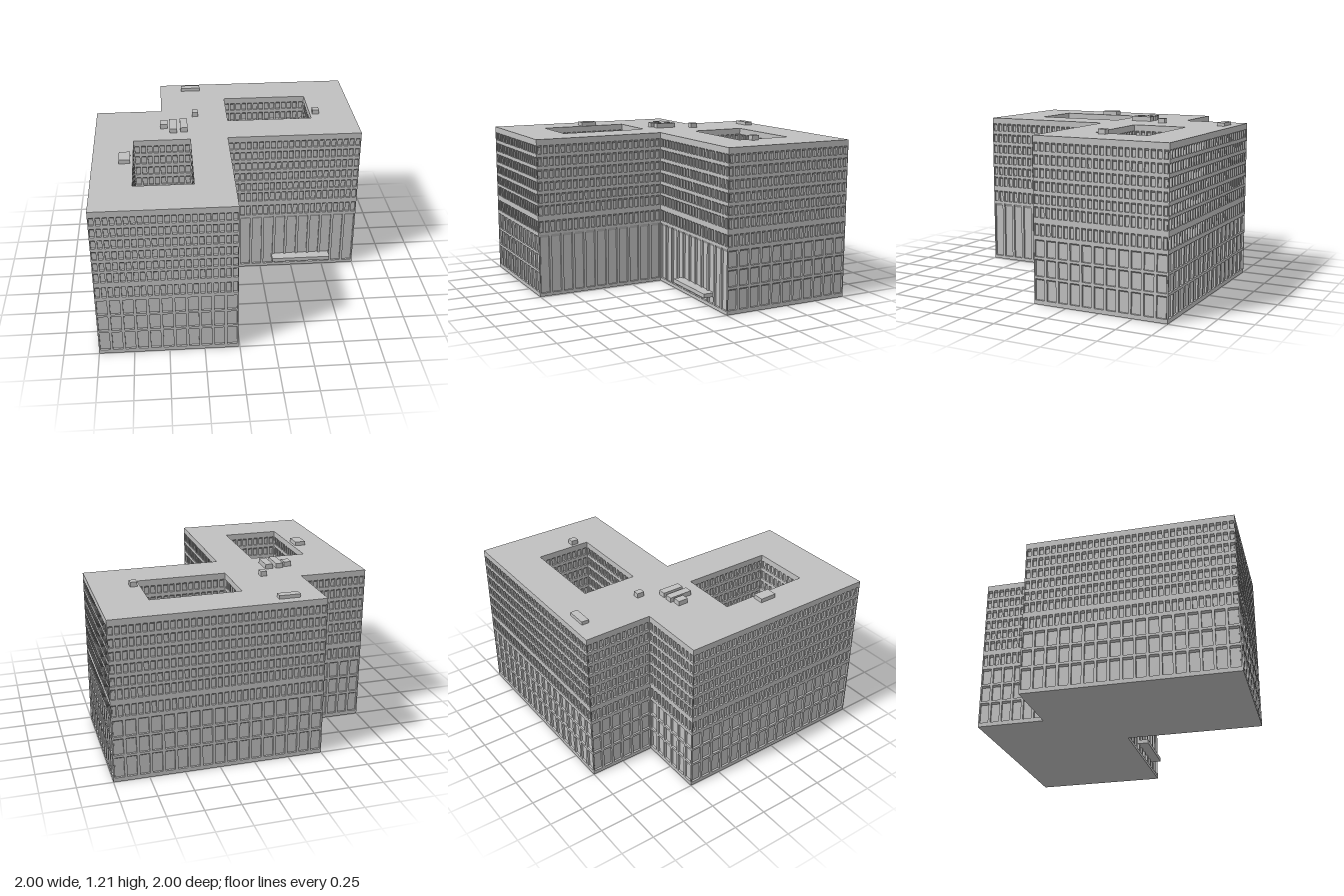
import * as THREE from 'three';

const HEIGHT = 1.17;
const COURT_FLOOR = 0.47;
const RECESS = 0.015;

// window rows as [sill, head]
const UPPER = [[0.485, 0.57], [0.61, 0.685], [0.705, 0.77], [0.795, 0.86], [0.885, 0.95], [0.975, 1.04], [1.065, 1.125]];
const LOWER = [[0.03, 0.182], [0.2, 0.32], [0.337, 0.457]];
const TALL = [[0.025, 0.467]];

// plan corners as [x, z], anticlockwise seen from above
const OUTLINE = [[-1, 1], [-0.01, 1], [-0.01, 0], [1, 0], [1, -1], [-0.5, -1], [-0.5, -0.5], [-1, -0.5]];
const TALL_WALLS = [1, 2];
const COURTS = [[0.01, 0.66, -0.7, -0.29], [-0.71, -0.29, 0.005, 0.68]]; // x0, x1, z0, z1
const courtRing = ([x0, x1, z0, z1]) => [[x0, z1], [x0, z0], [x1, z0], [x1, z1]];

// A wall from a to b with recessed windows under sloping heads
function wallGeometry(a, b, bottom, bands) {
  const dx = b[0] - a[0], dz = b[1] - a[1];
  const length = Math.hypot(dx, dz);
  const ux = dx / length, uz = dz / length;
  const pos = [];
  // point: distance along the wall, height, depth behind the face
  const place = ([s, y, d]) => [a[0] + ux * s + uz * d, y, a[1] + uz * s - ux * d];
  const quad = (p, q, r, t) => [p, q, r, p, r, t].forEach((v) => pos.push(...place(v)));
  const panel = (s0, s1, y0, y1, d = 0) => quad([s0, y0, d], [s1, y0, d], [s1, y1, d], [s0, y1, d]);

  let y = bottom;
  for (const { rows, bay, width, slope } of bands) {
    const count = Math.max(1, Math.round(length / bay));
    const step = length / count;
    const half = (step * width) / 2;
    for (const [sill, head] of rows) {
      panel(0, length, y, sill);
      let edge = 0;
      for (let i = 0; i < count; i++) {
        const s0 = step * (i + 0.5) - half, s1 = s0 + 2 * half;
        const inner = head - slope, d = RECESS;
        panel(edge, s0, sill, head);
        panel(s0, s1, sill, inner, d);
        quad([s0, sill, 0], [s1, sill, 0], [s1, sill, d], [s0, sill, d]);
        quad([s0, inner, d], [s1, inner, d], [s1, head, 0], [s0, head, 0]);
        quad([s0, sill, 0], [s0, sill, d], [s0, inner, d], [s0, head, 0]);
        quad([s1, sill, d], [s1, sill, 0], [s1, head, 0], [s1, inner, d]);
        edge = s1;
      }
      panel(edge, length, sill, head);
      y = head;
    }
  }
  panel(0, length, y, HEIGHT);
  const geo = new THREE.BufferGeometry();
  geo.setAttribute('position', new THREE.Float32BufferAttribute(pos, 3));
  geo.computeVertexNormals();
  return geo;
}

export function createModel() {
  const model = new THREE.Group();
  model.name = 'officeBuilding';
  const stone = new THREE.MeshStandardMaterial({ color: 0xc0c0c0 });
  stone.name = 'paleGreyStone';

  const add = (name, geo) => {
    const mesh = new THREE.Mesh(geo, stone);
    mesh.name = name;
    model.add(mesh);
    return mesh;
  };
  const block = (name, x0, x1, z0, z1, y0, y1) =>
    add(name, new THREE.BoxGeometry(x1 - x0, y1 - y0, z1 - z0))
      .position.set((x0 + x1) / 2, (y0 + y1) / 2, (z0 + z1) / 2);

  // facades
  const upper = { rows: UPPER, bay: 0.045, width: 0.66, slope: 0.013 };
  const lower = { rows: LOWER, bay: 0.09, width: 0.78, slope: 0.011 };
  const tall = { rows: TALL, bay: 0.09, width: 0.78, slope: 0.024 };
  OUTLINE.forEach((p, i) => {
    const next = OUTLINE[(i + 1) % OUTLINE.length];
    const base = TALL_WALLS.includes(i) ? tall : lower;
    add('facade' + (i + 1), wallGeometry(p, next, 0, [base, upper]));
  });

  // courtyards: walls, floor
  COURTS.forEach((court, c) => {
    const ring = courtRing(court);
    ring.forEach((p, i) =>
      add(`courtyard${c + 1}Wall${i + 1}`, wallGeometry(p, ring[(i + 1) % 4], COURT_FLOOR, [upper])));
    const [x0, x1, z0, z1] = court;
    const floor = add(`courtyard${c + 1}Floor`, new THREE.PlaneGeometry(x1 - x0, z1 - z0).rotateX(-Math.PI / 2));
    floor.position.set((x0 + x1) / 2, COURT_FLOOR, (z0 + z1) / 2);
  });

  // roof with courtyard openings, and underside
  const flip = ([x, z]) => new THREE.Vector2(x, -z);
  const roof = new THREE.Shape(OUTLINE.map(flip));
  COURTS.forEach((c) => roof.holes.push(new THREE.Path(courtRing(c).map(flip))));
  add('roof', new THREE.ShapeGeometry(roof).rotateX(-Math.PI / 2)).position.y = HEIGHT;
  const base = new THREE.Shape(OUTLINE.map(([x, z]) => new THREE.Vector2(x, z)));
  add('underside', new THREE.ShapeGeometry(base).rotateX(Math.PI / 2));

  // entrance canopy
  block('entranceCanopy', 0.34, 0.8, -0.01, 0.07, 0.08, 0.11);

  // rooftop plant: x0, x1, z0, z1, top
  [
    [-0.81, -0.73, 0.23, 0.355, 1.2],
    [-0.51, -0.455, -0.26, -0.185, 1.205],
    [-0.44, -0.385, -0.28, -0.105, 1.205],
    [-0.36, -0.305, -0.28, -0.12, 1.205],
    [-0.26, -0.215, -0.435, -0.38, 1.205],
    [-0.33, -0.18, -0.93, -0.875, 1.195],
    [0.68, 0.73, -0.41, -0.355, 1.205],
  ].forEach(([x0, x1, z0, z1, top], i) => block('roofUnit' + (i + 1), x0, x1, z0, z1, HEIGHT - 0.01, top));

  // low blocks on the courtyard floors
  [
    [0.25, 0.34, -0.59, -0.38],
    [0.5, 0.6, -0.59, -0.38],
    [-0.61, -0.42, 0.27, 0.48],
    [-0.58, -0.39, 0.0, 0.05],
  ].forEach((r, i) => block('courtyardUnit' + (i + 1), ...r, COURT_FLOOR - 0.01, COURT_FLOOR + 0.04));

  return model;
}
